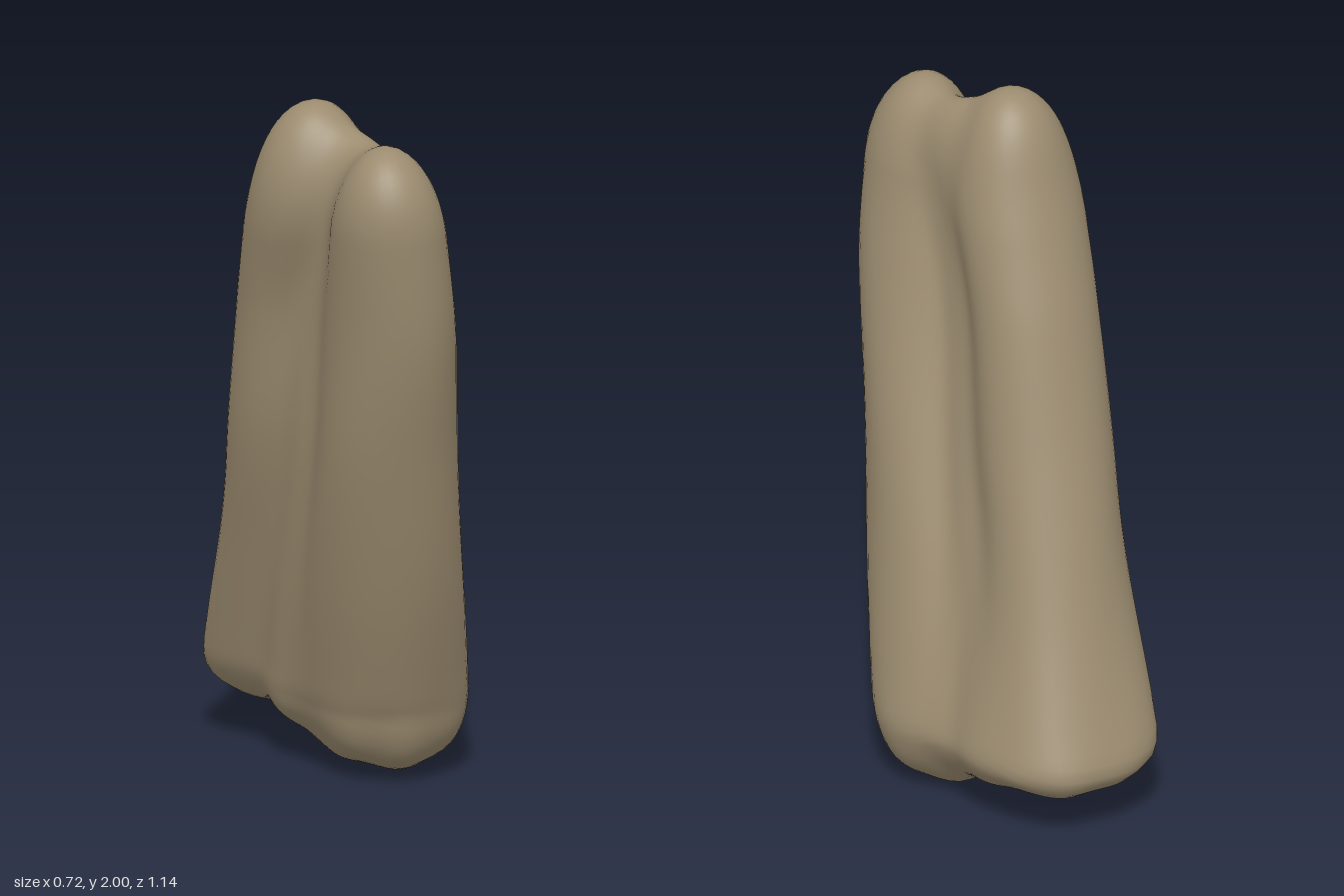
import * as THREE from 'three';

// Each lobe: heights, then centre x, centre z, radius x, radius z at each height
const KEYS = [0.2, 0.6, 1.0, 1.4, 1.75, 2.0];
const lobe = (values, capY, capH, baseY, baseH, n, shear) => ({
  at: new THREE.CubicInterpolant(KEYS, values, 4), capY, capH, baseY, baseH, n, shear,
});
const LOBES = [
  lobe([ // front finger
    0.095, 0.065, 0.22, 0.225,
    -0.015, 0.177, 0.207, 0.228,
    -0.102, 0.285, 0.193, 0.203,
    -0.17, 0.368, 0.165, 0.2,
    -0.219, 0.415, 0.15, 0.163,
    -0.225, 0.42, 0.15, 0.155], 1.68, 0.253, 0.26, 0.262, 2.3, 0),
  lobe([ // rear finger
    0.145, -0.34, 0.222, 0.215,
    0.03, -0.235, 0.2, 0.188,
    -0.065, -0.125, 0.197, 0.187,
    -0.13, -0.035, 0.185, 0.168,
    -0.192, 0.08, 0.185, 0.18,
    -0.2, 0.095, 0.185, 0.185], 1.6, 0.402, 0.25, 0.15, 2.5, 0.28),
  lobe([ // web joining the fingers
    0.105, -0.13, 0.21, 0.2,
    0.0, -0.045, 0.178, 0.15,
    -0.09, 0.07, 0.15, 0.12,
    -0.148, 0.145, 0.115, 0.12,
    -0.18, 0.25, 0.1, 0.12,
    -0.18, 0.265, 0.1, 0.12], 1.74, 0.17, 0.24, 0.18, 2.4, 0),
];

// Signed field of one lobe: a leaning column with rounded ends, its base rising toward -x
function lobeField(l, x, y, z) {
  const [cx, cz, rx, rz] = l.at.evaluate(y);
  const low = 1 - THREE.MathUtils.smoothstep(y, 0.2, 0.9);
  const n = THREE.MathUtils.lerp(2, l.n, low);
  const u = (x - cx) / rx;
  const w = (z - cz - l.shear * low * (x - cx)) / rz;
  const baseY = l.baseY + 0.08 * Math.max(0, cx - x);
  const t = y > l.capY ? (y - l.capY) / l.capH : y < baseY ? (baseY - y) / l.baseH : 0;
  const e = Math.pow(Math.abs(u) ** n + Math.abs(w) ** n + Math.abs(t) ** n, 1 / n);
  return (e - 1) * Math.min(rx, rz);
}

function smoothMin(a, b, k) {
  const h = Math.max(k - Math.abs(a - b), 0) / k;
  return Math.min(a, b) - h * h * k * 0.25;
}

// All lobes blended, with slight ripples and a knobbly base
function field(x, y, z) {
  const [front, rear, web] = LOBES.map((l) => lobeField(l, x, y, z));
  const d = smoothMin(smoothMin(rear, web, 0.06), front, 0.05);
  const base = 1 - THREE.MathUtils.smoothstep(y, 0.05, 0.3);
  const ripple = 0.004 * Math.sin(16 * x + 5 * y + 1) * Math.sin(14 * z - 6 * y);
  const knobs = 0.007 * base * Math.sin(24 * x + 1) * Math.sin(21 * z + 7 * x);
  return d + ripple + knobs;
}

// Distance from an inner point to the surface along a direction
function surfaceDistance(o, d) {
  const f = (r) => field(o.x + d.x * r, o.y + d.y * r, o.z + d.z * r);
  let hi = 0.02;
  while (hi < 1 && f(hi) < 0) hi += 0.02;
  let lo = hi - 0.02;
  for (let i = 0; i < 12; i++) {
    const mid = (lo + hi) / 2;
    if (f(mid) < 0) lo = mid; else hi = mid;
  }
  return lo;
}

function buildSkin() {
  const around = 96, capRows = 24, bodyRows = 44, lowY = 0.35, highY = 1.6;
  // Rows: rays fanning under the base, straight out along the body, fanning over the top
  const rows = [];
  for (let i = 1; i < capRows; i++) rows.push([lowY, (i / capRows - 1) * Math.PI / 2]);
  for (let i = 0; i <= bodyRows; i++) rows.push([lowY + (highY - lowY) * i / bodyRows, 0]);
  for (let i = 1; i < capRows; i++) rows.push([highY, i / capRows * Math.PI / 2]);

  const positions = [], indices = [];
  const origin = new THREE.Vector3(), dir = new THREE.Vector3();
  const addPoint = (y, tilt, a) => {
    const [cx, cz] = LOBES[2].at.evaluate(y);
    origin.set(cx, y, cz);
    dir.set(Math.cos(tilt) * Math.cos(a), Math.sin(tilt), Math.cos(tilt) * Math.sin(a));
    const r = surfaceDistance(origin, dir);
    positions.push(origin.x + dir.x * r, origin.y + dir.y * r, origin.z + dir.z * r);
  };

  // Single pole points close both ends
  for (const [y, tilt] of rows) {
    for (let j = 0; j < around; j++) addPoint(y, tilt, j / around * Math.PI * 2);
  }
  const bottom = rows.length * around, top = bottom + 1;
  addPoint(lowY, -Math.PI / 2, 0);
  addPoint(highY, Math.PI / 2, 0);

  const last = (rows.length - 1) * around;
  for (let j = 0; j < around; j++) {
    const k = (j + 1) % around;
    for (let i = 0; i < rows.length - 1; i++) {
      const p = i * around, q = p + around;
      indices.push(p + j, q + j, p + k, p + k, q + j, q + k);
    }
    indices.push(bottom, j, k, last + j, top, last + k);
  }

  const geometry = new THREE.BufferGeometry();
  geometry.setAttribute('position', new THREE.Float32BufferAttribute(positions, 3));
  geometry.setIndex(indices);
  geometry.computeVertexNormals();
  return geometry;
}

export function createModel() {
  const model = new THREE.Group();
  model.name = 'twinColumn';
  const clay = new THREE.MeshStandardMaterial({ color: 0x9c8c70 });
  clay.name = 'tan clay';
  const body = new THREE.Mesh(buildSkin(), clay);
  body.name = 'fusedFingers';
  model.add(body);

  // Stand on the ground, centred
  const box = new THREE.Box3().setFromObject(body);
  const c = box.getCenter(new THREE.Vector3());
  body.position.set(-c.x, -box.min.y, -c.z);
  return model;
}
